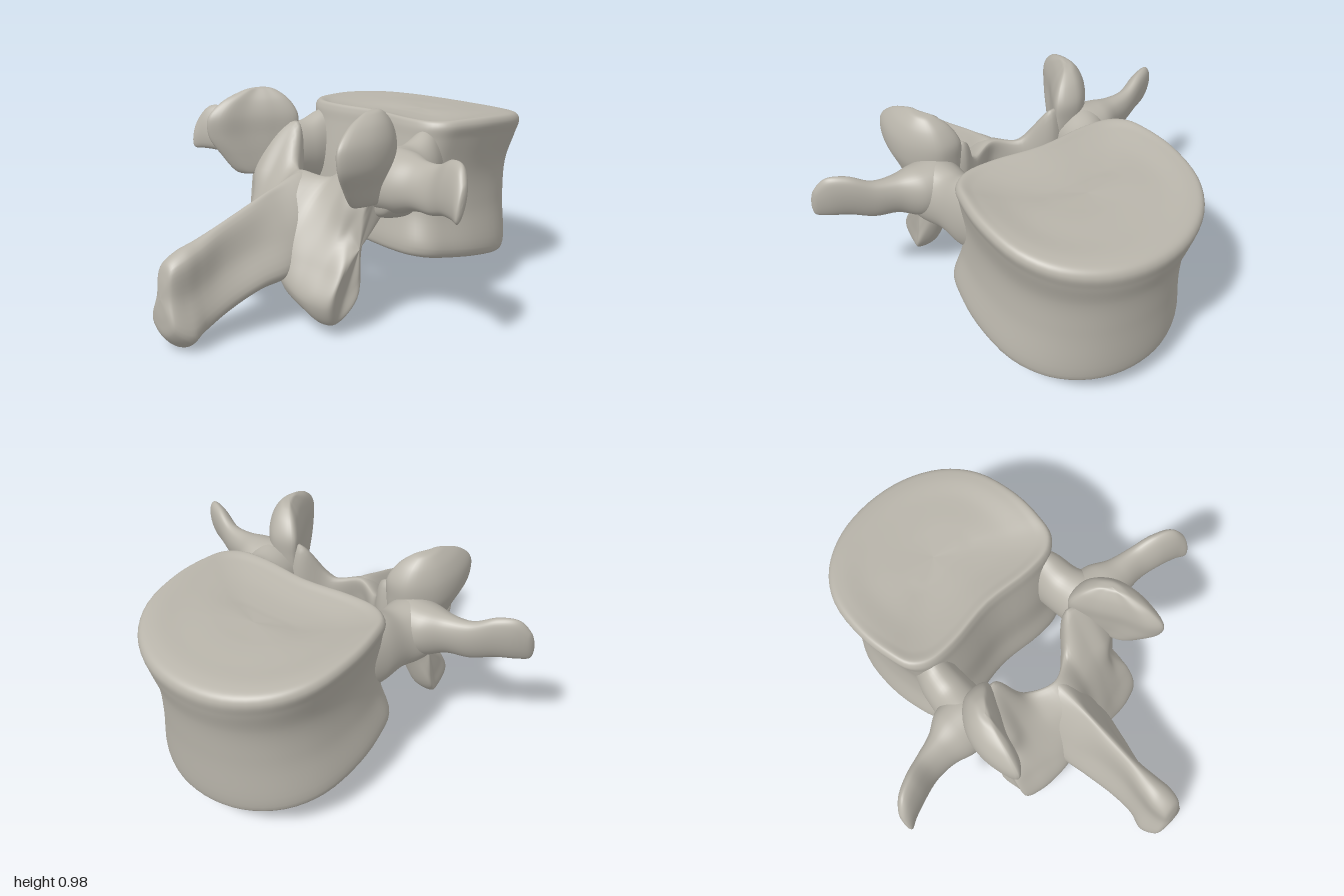
import * as THREE from 'three';

const bone = new THREE.MeshStandardMaterial({ color: 0xb8b4aa });
bone.name = 'bone';
const V = (x, y, z) => new THREE.Vector3(x, y, z);
const centre = (ring) => ring.reduce((s, p) => s.add(p), V(0, 0, 0)).divideScalar(ring.length);

// Smooth closed skin through a list of rings, with domed ends that stick out by bulge
function loft(name, rings, bulge = 0.02, around = 48, perSpan = 7) {
  const cap = (end, next) => {
    const c = centre(end);
    const out = c.clone().sub(centre(next)).normalize().multiplyScalar(bulge);
    return [[0.001, 1.2], [0.6, 0.9]].map(([s, k]) =>
      end.map((p) => p.clone().sub(c).multiplyScalar(s).add(c).addScaledVector(out, k)));
  };
  const n = rings.length;
  const all = [...cap(rings[0], rings[1]), ...rings, ...cap(rings[n - 1], rings[n - 2]).reverse()];
  const dense = all.map((ring) => {
    const curve = new THREE.CatmullRomCurve3(ring, true);
    return Array.from({ length: around }, (_, j) => curve.getPoint(j / around));
  });
  const rows = (all.length - 1) * perSpan;
  const lines = Array.from({ length: around }, (_, j) =>
    new THREE.CatmullRomCurve3(dense.map((r) => r[j])));
  const pos = [];
  const index = [];
  for (let i = 0; i <= rows; i++) {
    for (let j = 0; j < around; j++) {
      pos.push(...lines[j].getPoint(i / rows).toArray());
      if (i === rows) continue;
      const a = i * around + j, b = i * around + (j + 1) % around;
      index.push(a, b, a + around, b, b + around, a + around);
    }
  }
  // Signed volume tells whether the faces point inwards
  const at = (k) => V(pos[3 * k], pos[3 * k + 1], pos[3 * k + 2]);
  let volume = 0;
  for (let k = 0; k < index.length; k += 3) {
    volume += at(index[k]).dot(at(index[k + 1]).cross(at(index[k + 2])));
  }
  if (volume < 0) index.reverse();
  const geo = new THREE.BufferGeometry();
  geo.setAttribute('position', new THREE.Float32BufferAttribute(pos, 3));
  geo.setIndex(index);
  geo.computeVertexNormals();
  const mesh = new THREE.Mesh(geo, bone);
  mesh.name = name;
  return mesh;
}

// Ellipse ring from a centre and two half axes
const oval = (c, u, v) => Array.from({ length: 12 }, (_, k) => {
  const t = (k / 12) * Math.PI * 2;
  return c.clone().addScaledVector(u, Math.cos(t)).addScaledVector(v, Math.sin(t));
});

// Full ring from the points of its +x half, first and last lying on x = 0
const symmetric = (half) => [
  ...half,
  ...half.slice(1, -1).reverse().map((p) => V(-p.x, p.y, p.z)),
];

function vertebralBody() {
  // Kidney outline: x share, then share of depth from back to front of the body
  const outline = [[0, 0.03], [0.5, 0], [0.77, 0.015], [0.91, 0.08], [0.97, 0.2], [1, 0.4],
    [0.93, 0.66], [0.73, 0.84], [0.4, 0.96], [0, 1]];
  // half width, z back, z far, y back, y far, crown
  const levels = [
    [0.2, -0.4, -0.68, 0.245, 0.2, 0],
    [0.42, -0.15, -0.88, 0.25, 0.14, 0],
    [0.46, -0.1, -0.92, 0.265, 0.13, 0],
    [0.475, -0.092, -0.935, 0.31, 0.165, 0],
    [0.44, -0.12, -0.945, 0.45, 0.42, 0],
    [0.435, -0.135, -0.96, 0.62, 0.6, 0],
    [0.472, -0.165, -0.988, 0.79, 0.71, 0.02],
    [0.49, -0.175, -1, 0.85, 0.775, 0.025],
    [0.475, -0.19, -0.985, 0.875, 0.805, 0.025],
    [0.43, -0.24, -0.93, 0.86, 0.825, 0.025],
    [0.32, -0.34, -0.82, 0.84, 0.835, 0.015],
    [0.2, -0.45, -0.7, 0.835, 0.842, 0.01],
  ];
  const rings = levels.map(([w, zb, zf, yb, yf, crown]) => symmetric(outline.map(([x, d]) =>
    V(x * w, yb + (yf - yb) * d + crown * 4 * d * (1 - d), zb + (zf - zb) * d))));
  return loft('vertebralBody', rings, 0, 72);
}

function spinousProcess() {
  // top z, y; bottom z, y; half widths at top, middle and bottom
  const rows = [
    [0.22, 0.645, 0.33, 0.25, 0.05, 0.12, 0.12],
    [0.4, 0.6, 0.42, 0.19, 0.03, 0.11, 0.15],
    [0.55, 0.545, 0.55, 0.165, 0.03, 0.075, 0.13],
    [0.7, 0.49, 0.7, 0.1, 0.03, 0.055, 0.1],
    [0.81, 0.45, 0.83, 0.03, 0.045, 0.06, 0.09],
    [0.89, 0.425, 0.91, 0.0, 0.055, 0.065, 0.11],
    [0.955, 0.385, 0.985, 0.065, 0.045, 0.055, 0.085],
  ];
  const rings = rows.map(([zt, yt, zb, yb, a, b, c]) => {
    const p = (x, t) => V(x, yt + (yb - yt) * t, zt + (zb - zt) * t);
    return symmetric([p(0, 0), p(a, 0.08), p(b, 0.45), p(c, 0.85), p(0, 1)]);
  });
  return loft('spinousProcess', rings, 0.02);
}

// Arch plate running into the lower articular processes at both ends
function lamina() {
  // x, then [y, z] (and own x at the end) going down the back and up the front
  const half = [
    [0.13, [0.64, 0.15], [0.55, 0.27], [0.43, 0.36], [0.32, 0.42], [0.21, 0.45],
      [0.15, 0.42], [0.26, 0.32], [0.4, 0.2], [0.52, 0.13]],
    [0.23, [0.82, 0.06], [0.6, 0.22], [0.45, 0.31], [0.31, 0.39], [0.17, 0.45],
      [0.1, 0.41], [0.22, 0.28], [0.4, 0.17], [0.55, 0.05]],
    [0.31, [0.8, 0.08], [0.6, 0.24], [0.44, 0.29], [0.3, 0.37], [0.16, 0.44],
      [0.05, 0.38], [0.14, 0.26], [0.38, 0.16], [0.54, 0.05]],
    [0.365, [0.75, 0.08, 0.39], [0.59, 0.21, 0.39], [0.44, 0.26, 0.34], [0.3, 0.35, 0.39],
      [0.16, 0.41, 0.39], [0.06, 0.36, 0.37], [0.15, 0.26, 0.395], [0.39, 0.17, 0.34],
      [0.55, 0.07, 0.385]],
  ];
  const middle = [[0.65, 0.21], [0.57, 0.36], [0.45, 0.4], [0.32, 0.42], [0.24, 0.42],
    [0.2, 0.38], [0.28, 0.31], [0.42, 0.25], [0.55, 0.22]].map(([y, z]) => V(0, y, z));
  const left = half.map(([x, ...p]) => p.map(([y, z, own = x]) => V(own, y, z)));
  const right = left.map((ring) => ring.map((p) => V(-p.x, p.y, p.z))).reverse();
  return loft('lamina', [...right, middle, ...left], 0.012, 72);
}

// Paired parts, s = 1 for left and -1 for right
function sideParts(s, side) {
  // centre x, y, z, half width, half height
  const pedicle = [
    [0.27, 0.65, -0.35, 0.09, 0.15],
    [0.35, 0.645, -0.2, 0.095, 0.19],
    [0.368, 0.635, -0.08, 0.108, 0.155],
    [0.395, 0.64, 0.03, 0.135, 0.155],
    [0.385, 0.64, 0.14, 0.12, 0.13],
  ].map(([x, y, z, w, h]) => oval(V(s * x, y, z), V(w, 0, 0), V(0, h, 0)));

  // centre x, y, z, half depth, half height
  const transverse = [
    [0.36, 0.66, 0.06, 0.12, 0.13],
    [0.48, 0.66, 0.055, 0.12, 0.132],
    [0.58, 0.67, 0.07, 0.075, 0.105],
    [0.68, 0.675, 0.085, 0.055, 0.105],
    [0.78, 0.71, 0.12, 0.05, 0.113],
    [0.86, 0.712, 0.155, 0.042, 0.11],
    [0.905, 0.685, 0.185, 0.028, 0.08],
  ].map(([x, y, z, d, h]) => oval(V(s * x, y, z), V(0, 0, d), V(0, h, -0.02)));

  // Curved blade, hollow towards the midline: x, z around the blade, scaled at each height
  const blade = [[-0.13, -0.11], [-0.02, -0.13], [0.08, -0.03], [0.11, 0.12],
    [0.07, 0.27], [0.02, 0.23], [-0.025, 0.11], [-0.085, 0]];
  // height, centre x, z, scale
  const superior = [
    [0.58, 0.36, 0.12, 0.65],
    [0.67, 0.375, 0.14, 0.84],
    [0.76, 0.39, 0.15, 0.99],
    [0.85, 0.39, 0.15, 1],
    [0.92, 0.39, 0.15, 0.75],
    [0.962, 0.39, 0.15, 0.42],
  ].map(([y, x, z, k]) => blade.map(([dx, dz]) => V(s * (x + dx * k), y, z + dz * k)));

  return [
    loft(side + 'Pedicle', pedicle),
    loft(side + 'TransverseProcess', transverse, 0.015),
    loft(side + 'SuperiorArticularProcess', superior, 0.015),
  ];
}

export function createModel() {
  const model = new THREE.Group();
  model.name = 'vertebra';
  model.add(vertebralBody(), lamina(), spinousProcess());
  model.add(...sideParts(1, 'left'), ...sideParts(-1, 'right'));
  return model;
}
